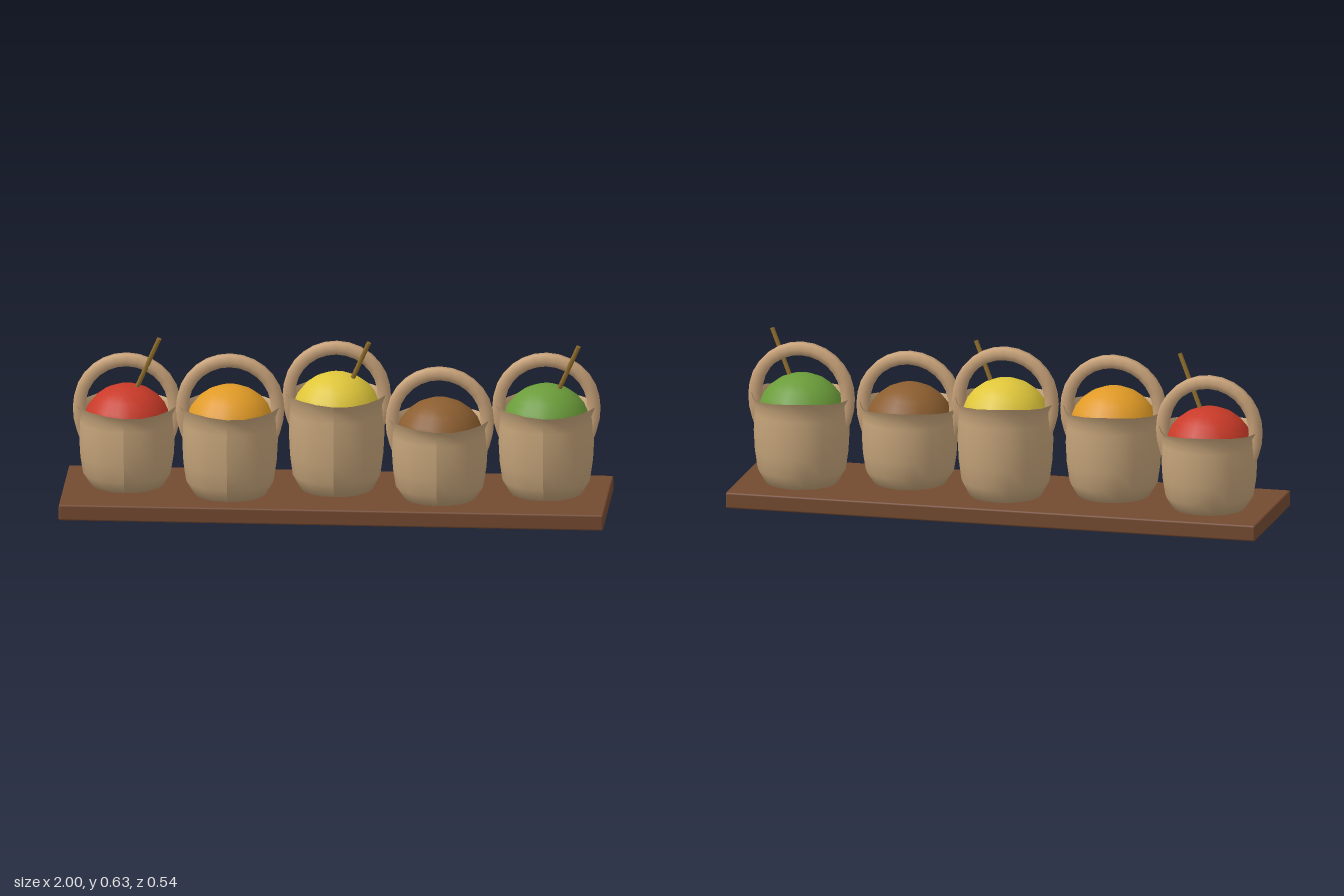
import * as THREE from 'three';
import { RoundedBoxGeometry } from 'three/addons/geometries/RoundedBoxGeometry.js';

const mat = (name, color, side = THREE.FrontSide) => {
  const m = new THREE.MeshStandardMaterial({ color, side });
  m.name = name;
  return m;
};

const BOARD_TOP = 0.06;

export function createModel() {
  const model = new THREE.Group();
  model.name = 'spiceSackDisplay';

  const wood = mat('board wood', 0x744a31);
  const burlap = mat('burlap', 0xc4a379, THREE.DoubleSide);
  const rope = mat('handle rope', 0xc9a37a);
  const stickWood = mat('scoop wood', 0x8f6d2c);

  const add = (parent, name, geometry, material) => {
    const mesh = new THREE.Mesh(geometry, material);
    mesh.name = name;
    parent.add(mesh);
    return mesh;
  };

  // Open sack: rounded belly, narrow neck, flared uneven rim
  const sackGeometry = (height) => {
    const profile = [
      [0, 0], [0.133, 0], [0.162, 0.15], [0.172, 0.36], [0.176, 0.58],
      [0.173, 0.8], [0.17, 0.9], [0.185, 1],
    ].map(([r, t]) => new THREE.Vector2(r, t * height));
    const g = new THREE.LatheGeometry(profile, 18);
    const p = g.attributes.position;
    for (let i = 0; i < p.count; i++) {
      if (p.getY(i) > height * 0.95) {
        const a = Math.atan2(p.getZ(i), p.getX(i));
        p.setY(i, p.getY(i) + 0.005 * Math.sin(3 * a + 0.6));
      }
    }
    g.computeVertexNormals();
    return g;
  };

  // Arched handle, its ends tucked into the sides of the sack
  const handleGeometry = () => {
    const points = [new THREE.Vector3(0.148, -0.125, 0), new THREE.Vector3(0.17, -0.06, 0)];
    for (let i = 0; i <= 8; i++) {
      const a = (Math.PI * i) / 8;
      points.push(new THREE.Vector3(0.175 * Math.cos(a), 0.175 * Math.sin(a), 0));
    }
    points.push(new THREE.Vector3(-0.17, -0.06, 0), new THREE.Vector3(-0.148, -0.125, 0));
    return new THREE.TubeGeometry(new THREE.CatmullRomCurve3(points), 20, 0.0265, 6);
  };

  // Board
  add(model, 'board', new RoundedBoxGeometry(2, BOARD_TOP, 0.54, 2, 0.007), wood)
    .position.y = BOARD_TOP / 2;

  const sacks = [
    { name: 'red', color: 0xc93a28, rim: 0.36, scoop: true },
    { name: 'orange', color: 0xe09a26, rim: 0.39 },
    { name: 'yellow', color: 0xdfc63a, rim: 0.42, scoop: true },
    { name: 'brown', color: 0x8c5e30, rim: 0.356 },
    { name: 'green', color: 0x6b9c3a, rim: 0.39, scoop: true },
  ];

  sacks.forEach(({ name, color, rim, scoop }, i) => {
    const group = new THREE.Group();
    group.name = name + 'Sack';
    group.position.set((i - 2) * 0.385, 0, i % 2 ? 0.055 : -0.038);
    model.add(group);

    add(group, 'sack', sackGeometry(rim - BOARD_TOP), burlap).position.y = BOARD_TOP;

    // Heaped filling: upper part of a sphere
    const dome = add(group, 'filling',
      new THREE.SphereGeometry(0.165, 18, 6, 0, Math.PI * 2, 0, Math.PI * 0.5),
      mat(name + ' spice', color));
    dome.scale.y = 0.96;
    dome.position.y = rim - 0.081;

    add(group, 'handle', handleGeometry(), rope).position.y = rim - 0.003;

    // Slanted stick standing in the filling
    if (scoop) {
      const from = new THREE.Vector3(0.02, 0.39, 0.003);
      const to = new THREE.Vector3(0.121, 0.624, 0.038);
      const dir = to.clone().sub(from);
      const stick = add(group, 'stick',
        new THREE.CylinderGeometry(0.0085, 0.0085, dir.length(), 8), stickWood);
      stick.position.copy(from).add(to).multiplyScalar(0.5);
      stick.quaternion.setFromUnitVectors(new THREE.Vector3(0, 1, 0), dir.normalize());
    }
  });

  return model;
}
